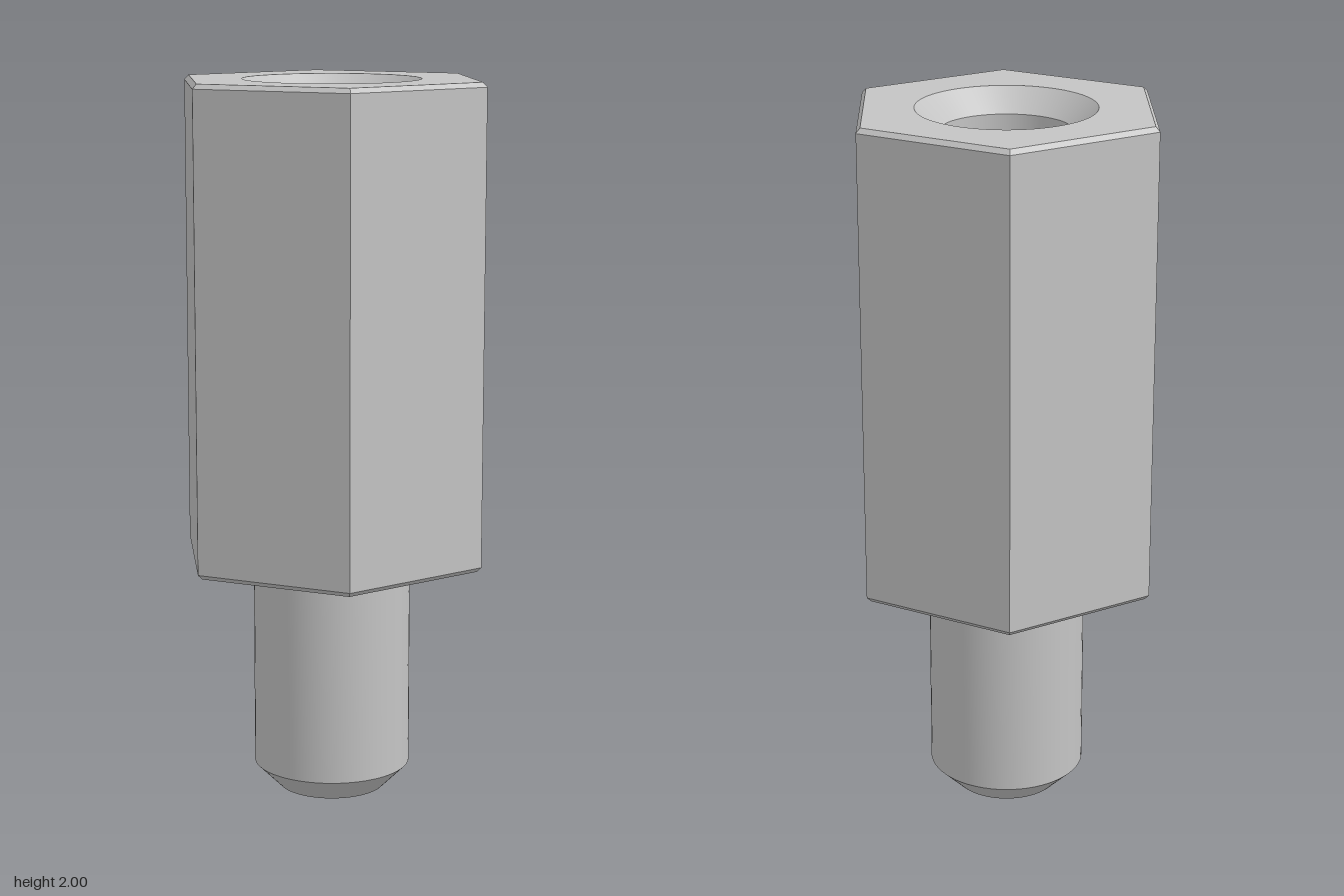
import * as THREE from 'three';
import { toCreasedNormals } from 'three/addons/utils/BufferGeometryUtils.js';

// Main dimensions
const HEX_R = 0.449, HEX_CHAMFER = 0.013, BODY_Y = 0.667, TOP_Y = 2;
const STUD_R = 0.22, HOLE_R = 0.18, SINK_R = 0.244, HOLE_FLOOR = 1.11;

// Revolve [radius, height] pairs, keeping profile corners sharp
function revolve(profile, sides) {
  const points = profile.map(([r, y]) => new THREE.Vector2(r, y));
  const lathe = new THREE.LatheGeometry(points, sides, Math.PI / 2);
  return toCreasedNormals(lathe, Math.PI / 6);
}

// Flat hexagonal face with a round opening
function hexRing(hexRadius, holeRadius) {
  const shape = new THREE.Shape();
  for (let i = 0; i < 6; i++) {
    const a = (i * Math.PI) / 3;
    const x = hexRadius * Math.cos(a), y = hexRadius * Math.sin(a);
    if (i === 0) shape.moveTo(x, y);
    else shape.lineTo(x, y);
  }
  shape.closePath();
  shape.holes.push(new THREE.Path().absarc(0, 0, holeRadius, 0, Math.PI * 2, true));
  return new THREE.ShapeGeometry(shape, 32);
}

export function createModel() {
  const model = new THREE.Group();
  model.name = 'hexStandoff';
  const steel = new THREE.MeshStandardMaterial({ color: 0xc4c4c4 });
  steel.name = 'steel';

  const add = (name, geometry) => {
    const mesh = new THREE.Mesh(geometry, steel);
    mesh.name = name;
    model.add(mesh);
    return mesh;
  };

  // Six-sided body with small chamfers at both ends
  const capR = HEX_R - HEX_CHAMFER;
  add('hexBody', revolve([
    [capR, BODY_Y],
    [HEX_R, BODY_Y + HEX_CHAMFER],
    [HEX_R, TOP_Y - HEX_CHAMFER],
    [capR, TOP_Y],
  ], 6));

  // End faces of the body
  const topFace = add('topFace', hexRing(capR, SINK_R));
  topFace.rotation.x = -Math.PI / 2;
  topFace.position.y = TOP_Y;
  const shoulder = add('shoulderFace', hexRing(capR, STUD_R));
  shoulder.rotation.x = Math.PI / 2;
  shoulder.position.y = BODY_Y;

  // Countersunk blind hole, profiled from the rim down to the floor
  add('blindHole', revolve([
    [SINK_R, TOP_Y],
    [HOLE_R, TOP_Y - (SINK_R - HOLE_R)],
    [HOLE_R, HOLE_FLOOR],
    [0, HOLE_FLOOR],
  ], 64));

  // Stud with a chamfered tip
  add('stud', revolve([
    [0, 0],
    [0.15, 0],
    [STUD_R, 0.07],
    [STUD_R, BODY_Y],
  ], 64));

  return model;
}
